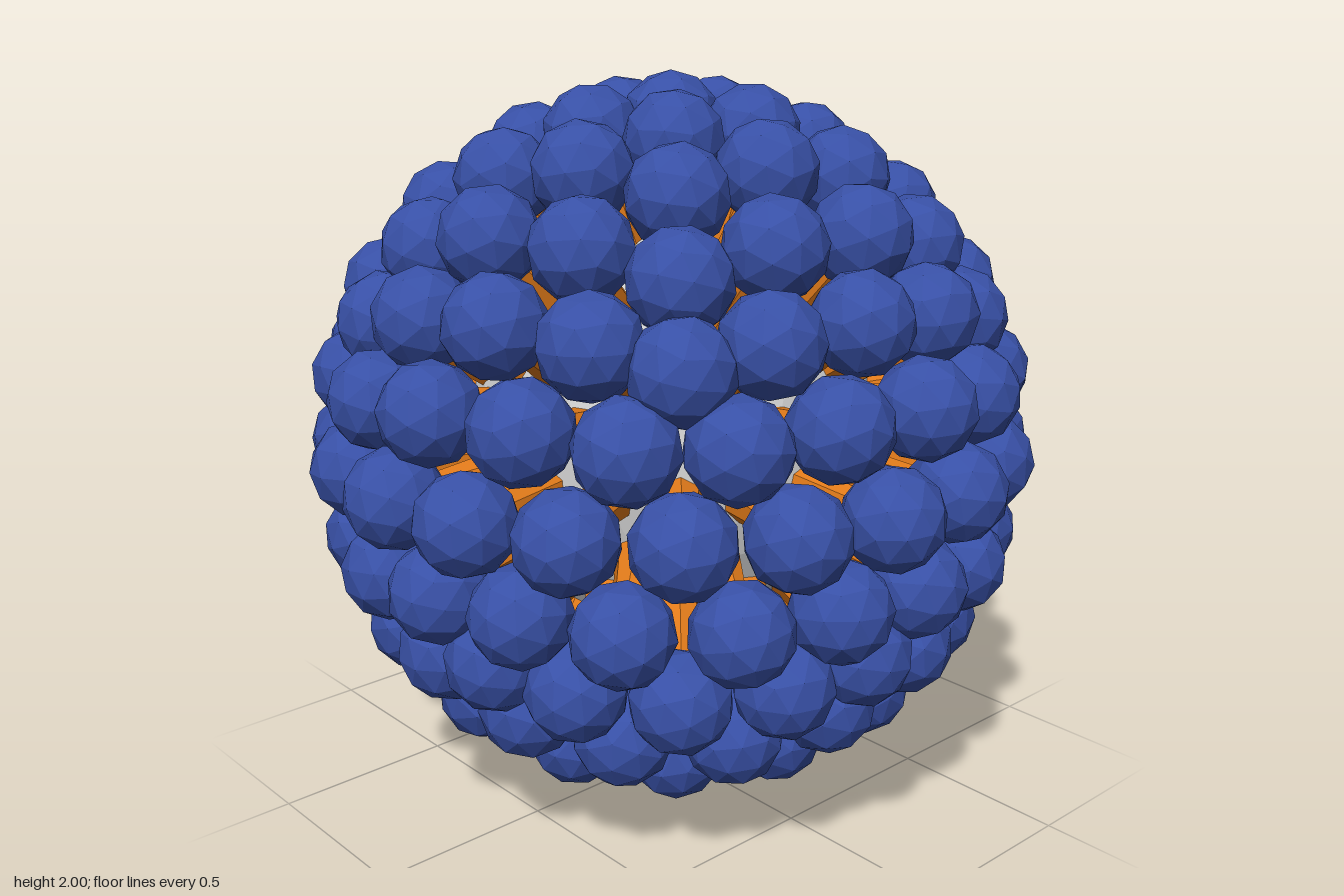
import * as THREE from 'three';
import { mergeVertices } from 'three/addons/utils/BufferGeometryUtils.js';

const SHELL = 0.868; // distance of the ball centres from the middle
const BALL = 0.133;
const CORE = 0.58;
const UP = new THREE.Vector3(0, 1, 0);

// Icosphere turned so that one of its corners points straight up
function poleIcosphere(radius, detail) {
  return new THREE.IcosahedronGeometry(radius, detail)
    .rotateX(-Math.atan((1 + Math.sqrt(5)) / 2));
}

function material(color) {
  return new THREE.MeshStandardMaterial({ color, flatShading: true });
}

export function createModel() {
  const group = new THREE.Group();
  const turn = THREE.MathUtils.degToRad(-22);

  // Faceted core
  const coreGeo = poleIcosphere(CORE, 3).rotateY(turn);
  const core = new THREE.Mesh(coreGeo, material(0xcccccc));
  core.name = 'core';
  core.position.y = 1;
  group.add(core);

  // Unique corners of the core give the directions of the stalks
  const bare = coreGeo.clone();
  bare.deleteAttribute('normal');
  bare.deleteAttribute('uv');
  const corners = mergeVertices(bare, 1e-3).attributes.position;

  const stalkGeo = new THREE.CylinderGeometry(0.03, 0.07, SHELL - CORE + 0.04, 8, 1, true);
  const ballGeo = poleIcosphere(BALL, 1);
  const stalkMat = material(0xe07a1a);
  const ballMat = material(0x3850a6);

  // A tapered stalk with a faceted ball at its end on every corner
  for (let i = 0; i < corners.count; i++) {
    const spike = new THREE.Group();
    spike.name = 'spike';
    const dir = new THREE.Vector3().fromBufferAttribute(corners, i).normalize();
    spike.quaternion.setFromUnitVectors(UP, dir);
    spike.position.y = 1;

    const stalk = new THREE.Mesh(stalkGeo, stalkMat);
    stalk.name = 'stalk';
    stalk.position.y = (SHELL + CORE - 0.04) / 2;

    const ball = new THREE.Mesh(ballGeo, ballMat);
    ball.name = 'ball';
    ball.position.y = SHELL;

    spike.add(stalk, ball);
    group.add(spike);
  }
  return group;
}
